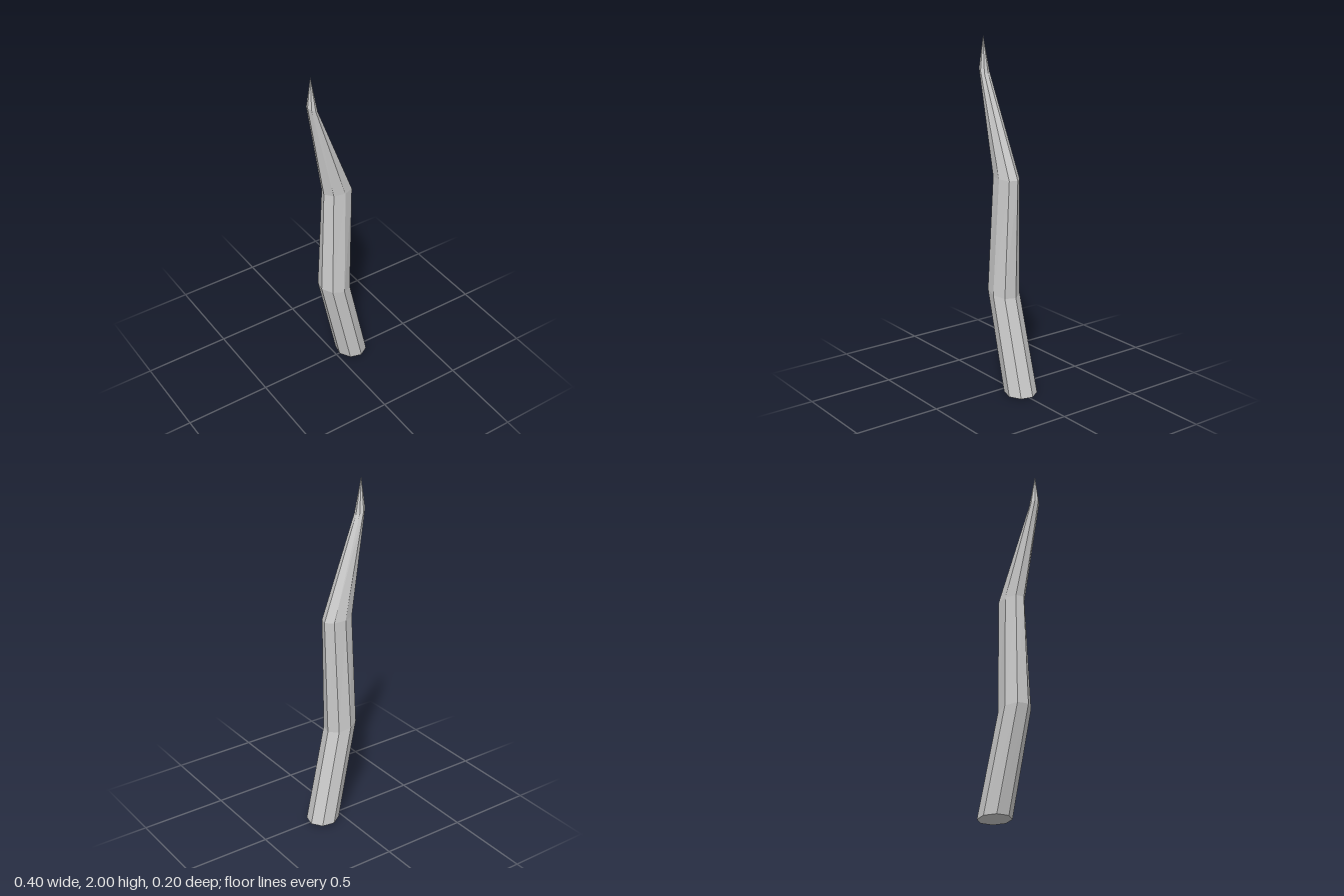
import * as THREE from 'three';

const SIDES = 8;
const PHASE = -0.17;

// Cross-sections from base to point: centre, radii, and how much each ring leans along x
const RINGS = [
  { c: [0.107, 0.005, -0.004], rx: 0.093, rz: 0.094, lean: -0.055 },
  { c: [-0.027, 0.578, 0.014], rx: 0.094, rz: 0.087, lean: -0.22 },
  { c: [-0.006, 1.24, 0.012], rx: 0.091, rz: 0.062, lean: -0.06 },
  { c: [-0.172, 1.812, 0.036], rx: 0.029, rz: 0.029, lean: -0.62 },
];
const TIP = [-0.18, 2, 0.037];

function ringPoint({ c, rx, rz, lean }, j) {
  const a = PHASE + (j % SIDES) * Math.PI * 2 / SIDES;
  const dx = rx * Math.cos(a);
  return [c[0] + dx, c[1] + lean * dx, c[2] + rz * Math.sin(a)];
}

function hornGeometry() {
  const pos = [];
  const tri = (a, b, c) => pos.push(...a, ...b, ...c);
  const last = RINGS[RINGS.length - 1];
  for (let j = 0; j < SIDES; j++) {
    // flat base
    tri(RINGS[0].c, ringPoint(RINGS[0], j), ringPoint(RINGS[0], j + 1));
    // bent shaft
    for (let i = 0; i < RINGS.length - 1; i++) {
      const a = ringPoint(RINGS[i], j), b = ringPoint(RINGS[i], j + 1);
      const c = ringPoint(RINGS[i + 1], j), d = ringPoint(RINGS[i + 1], j + 1);
      tri(a, c, b);
      tri(b, c, d);
    }
    // sharp point
    tri(ringPoint(last, j), TIP, ringPoint(last, j + 1));
  }
  const geo = new THREE.BufferGeometry();
  geo.setAttribute('position', new THREE.Float32BufferAttribute(pos, 3));
  geo.computeVertexNormals();
  return geo;
}

export function createModel() {
  const group = new THREE.Group();
  const material = new THREE.MeshStandardMaterial({ color: 0xcccccc, flatShading: true });
  const horn = new THREE.Mesh(hornGeometry(), material);
  horn.name = 'horn';
  group.add(horn);
  return group;
}
